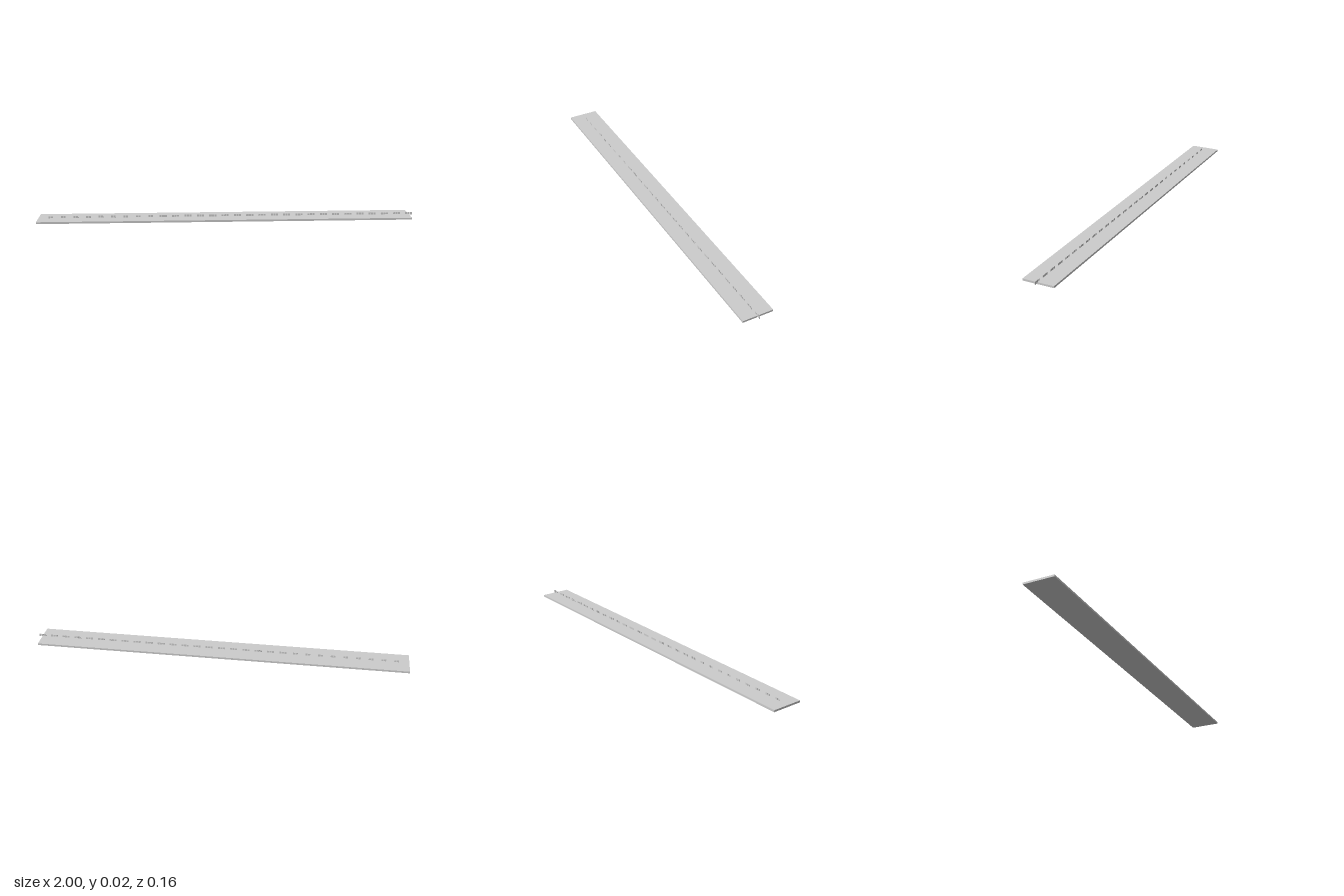
import * as THREE from 'three';

const material = new THREE.MeshStandardMaterial({ color: 0xcccccc });

function box(name, w, h, d, x, y, z) {
  const mesh = new THREE.Mesh(new THREE.BoxGeometry(w, h, d), material);
  mesh.name = name;
  mesh.position.set(x, y, z);
  return mesh;
}

export function createModel() {
  const model = new THREE.Group();
  model.name = 'measuringStrip';

  // Long flat base strip
  model.add(box('strip', 1.98, 0.01, 0.164, -0.01, 0.005, 0));

  // Upright scale markers at even steps: two small plates each, three from the tenth on
  const step = 0.066, pitch = 0.0135;
  for (let i = 1; i <= 30; i++) {
    const marker = new THREE.Group();
    marker.name = 'scaleMarker' + i;
    marker.position.x = -1 + i * step;
    const count = i < 10 ? 2 : 3;
    for (let k = 0; k < count; k++) {
      const x = (k - (count - 1) / 2) * pitch;
      marker.add(box('markerPlate', 0.011, 0.0145, 0.002, x, 0.0133, 0.004));
    }
    model.add(marker);
  }
  return model;
}
